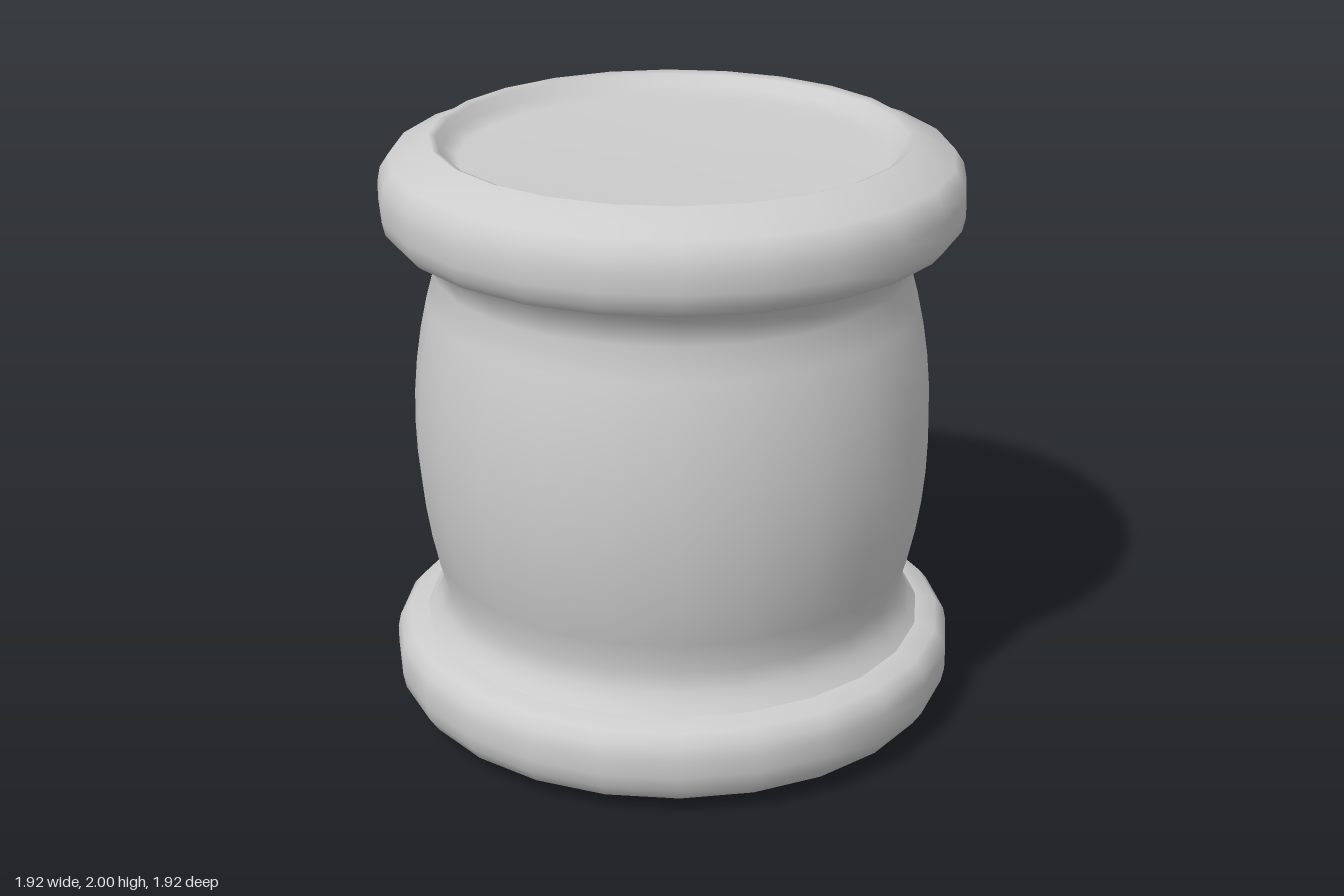
import * as THREE from 'three';

const SEGMENTS = 24;

export function createModel() {
  const group = new THREE.Group();
  const grey = new THREE.MeshStandardMaterial({ color: 0xcccccc });
  grey.name = 'plain grey';

  // Revolve a [radius, height] profile into a named part
  const addLathe = (name, profile) => {
    const points = profile.map(([r, y]) => new THREE.Vector2(r, y));
    const mesh = new THREE.Mesh(new THREE.LatheGeometry(points, SEGMENTS), grey);
    mesh.name = name;
    group.add(mesh);
  };
  // Mirror a profile top to bottom, keeping the outside facing out
  const flip = (profile) => profile.map(([r, y]) => [r, 2 - y]).reverse();

  // Rounded rim with a shallow dished end
  const rim = [
    [0, 0.08], [0.7, 0.075], [0.745, 0.045], [0.765, 0.01], [0.79, 0],
    [0.85, 0.04], [0.92, 0.065], [0.95, 0.11], [0.96, 0.16], [0.96, 0.22],
    [0.95, 0.265], [0.92, 0.3], [0.855, 0.32], [0.8, 0.325],
  ];
  addLathe('bottomRim', rim);
  addLathe('topRim', flip(rim));

  // Barrel body, pinched to a flared neck beside each rim
  const neck = [[0.855, 0.315], [0.825, 0.35], [0.808, 0.385], [0.785, 0.445]];
  const bulge = [];
  for (let i = 1; i < 10; i++) {
    const t = i / 5 - 1;
    bulge.push([0.87 - 0.085 * t * t, 1 + 0.555 * t]);
  }
  addLathe('barrelBody', [...neck, ...bulge, ...flip(neck)]);

  return group;
}
